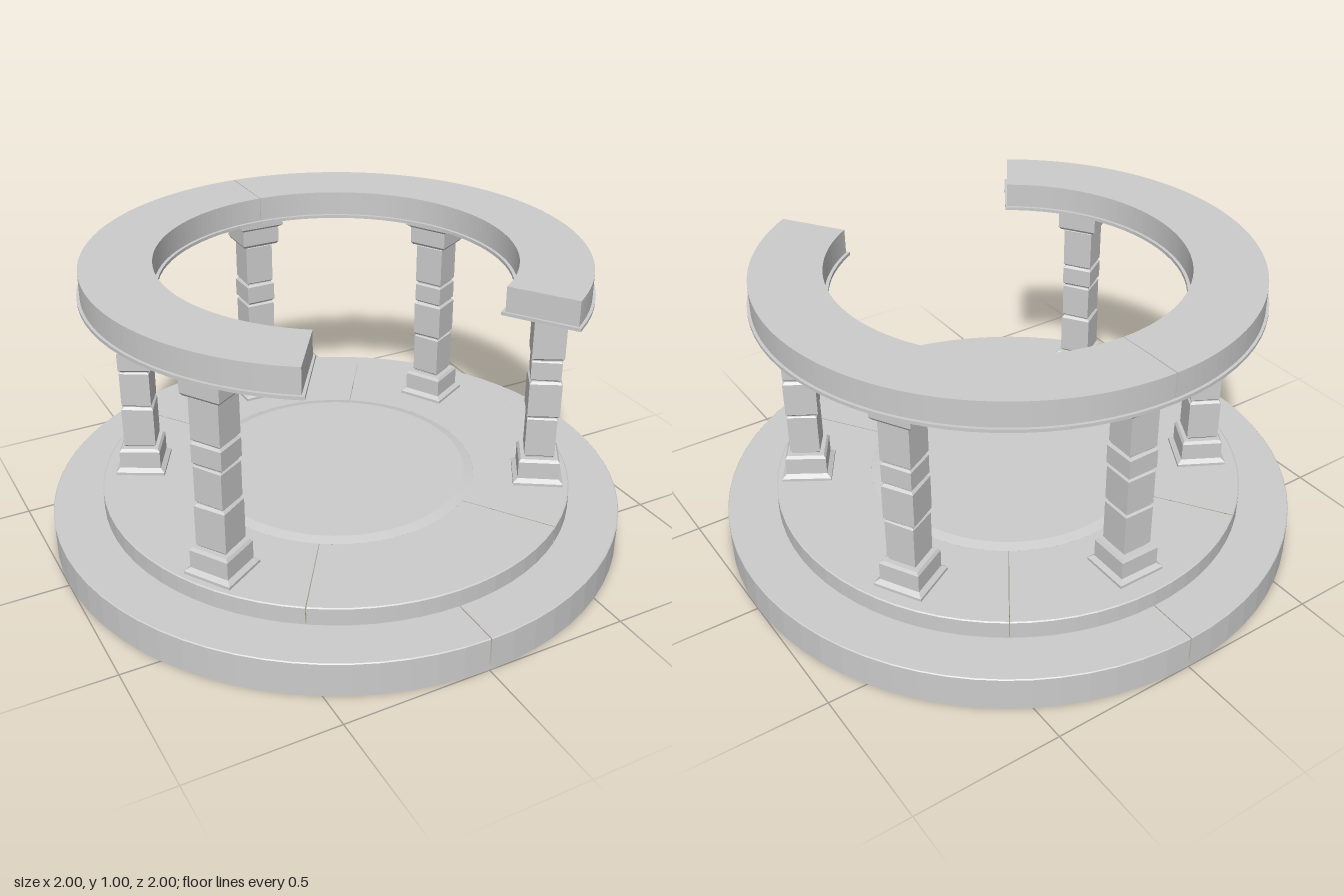
import * as THREE from 'three';

const stone = new THREE.MeshStandardMaterial({ color: 0xcccccc, flatShading: true, side: THREE.DoubleSide });

function add(parent, name, geometry) {
  const mesh = new THREE.Mesh(geometry, stone);
  mesh.name = name;
  parent.add(mesh);
  return mesh;
}

// Open shell swept around y from [radius, height] pairs, angles measured from the front
function sweep(points, segments, start = 0, length = Math.PI * 2) {
  return new THREE.LatheGeometry(points.map(([r, y]) => new THREE.Vector2(r, y)), segments, start, length);
}

// Square stone turned from [width, height] pairs
function squareStone(points) {
  return sweep(points.map(([w, y]) => [w / Math.SQRT2, y]), 4, Math.PI / 4);
}

// Square block with chamfered top and bottom edges
function block(width, bottom, top, bevel) {
  return squareStone([
    [0, bottom], [width - 2 * bevel, bottom], [width, bottom + bevel],
    [width, top - bevel], [width - 2 * bevel, top], [0, top],
  ]);
}

// Curved slab with flat ends, angles measured counterclockwise seen from above
function arcSlab(inner, outer, bottom, height, start, end) {
  const shape = new THREE.Shape();
  shape.absarc(0, 0, outer, start, end, false);
  shape.absarc(0, 0, inner, end, start, true);
  const geometry = new THREE.ExtrudeGeometry(shape, { depth: height, bevelEnabled: false, curveSegments: 32 });
  return geometry.rotateX(-Math.PI / 2).translate(0, bottom, 0);
}

function createColumn(seed) {
  const column = new THREE.Group();
  const vary = (i) => Math.sin(seed * 5.3 + i * 2.7);

  add(column, 'columnBase', squareStone([
    [0, 0.181], [0.172, 0.181], [0.172, 0.193], [0.142, 0.205],
    [0.142, 0.268], [0.128, 0.278], [0, 0.278],
  ]));

  // Stacked shaft stones, slightly uneven
  const joints = [0.28, 0.437, 0.575, 0.655, 0.812];
  for (let i = 0; i < joints.length - 1; i++) {
    const shaftStone = add(column, 'shaftStone', block(0.107 + 0.004 * vary(i), joints[i], joints[i + 1], 0.008));
    shaftStone.rotation.y = 0.025 * vary(i + 7);
  }
  add(column, 'shaftCore', block(0.094, 0.27, 0.82, 0.002));

  add(column, 'capital', squareStone([
    [0, 0.812], [0.128, 0.812], [0.142, 0.822], [0.142, 0.88],
    [0.168, 0.89], [0.168, 0.905], [0, 0.905],
  ]));
  return column;
}

export function createModel() {
  const model = new THREE.Group();
  model.name = 'colonnade';
  const gap = 0.004;

  // Lower step in two halves, hollow underneath
  for (const side of [0, 1]) {
    add(model, 'lowerStep', sweep(
      [[1, 0], [1, 0.117], [0.997, 0.12], [0.82, 0.12]], 36, side * Math.PI + gap / 2, Math.PI - gap,
    ));
  }

  // Upper floor in four sectors
  const seam = 0.594;
  const seams = [-seam, seam, Math.PI - seam, Math.PI + seam, 2 * Math.PI - seam];
  for (let i = 0; i < 4; i++) {
    const length = seams[i + 1] - seams[i];
    add(model, 'floorSlab', sweep(
      [[0.824, 0.12], [0.824, 0.18], [0.82, 0.183], [0.49, 0.183]],
      Math.round(length * 11.5), seams[i] + gap / 2, length - gap,
    ));
  }

  // Raised disc in the middle of the floor
  add(model, 'floorDisc', sweep([[0.49, 0.183], [0.455, 0.192], [0, 0.192]], 64));

  // Columns, leaving the front open
  const places = [[0.603, 0.38], [0.603, -0.335], [0, -0.67], [-0.603, -0.335], [-0.603, 0.38]];
  places.forEach(([x, z], i) => {
    const column = createColumn(i + 1);
    column.name = 'column';
    column.position.set(x, 0, z);
    column.rotation.y = Math.atan2(x, z);
    model.add(column);
  });

  // Roof ring in two halves meeting at the back, on a thin projecting ledge
  const half = Math.PI - 0.595;
  const back = Math.PI / 2;
  for (const [start, end] of [[back - half, back - gap / 2], [back + gap / 2, back + half]]) {
    add(model, 'roofRing', arcSlab(0.598, 0.836, 0.915, 0.085, start, end));
  }
  add(model, 'roofLedge', arcSlab(0.587, 0.846, 0.904, 0.011, back - half - 0.012, back + half + 0.012));
  return model;
}
